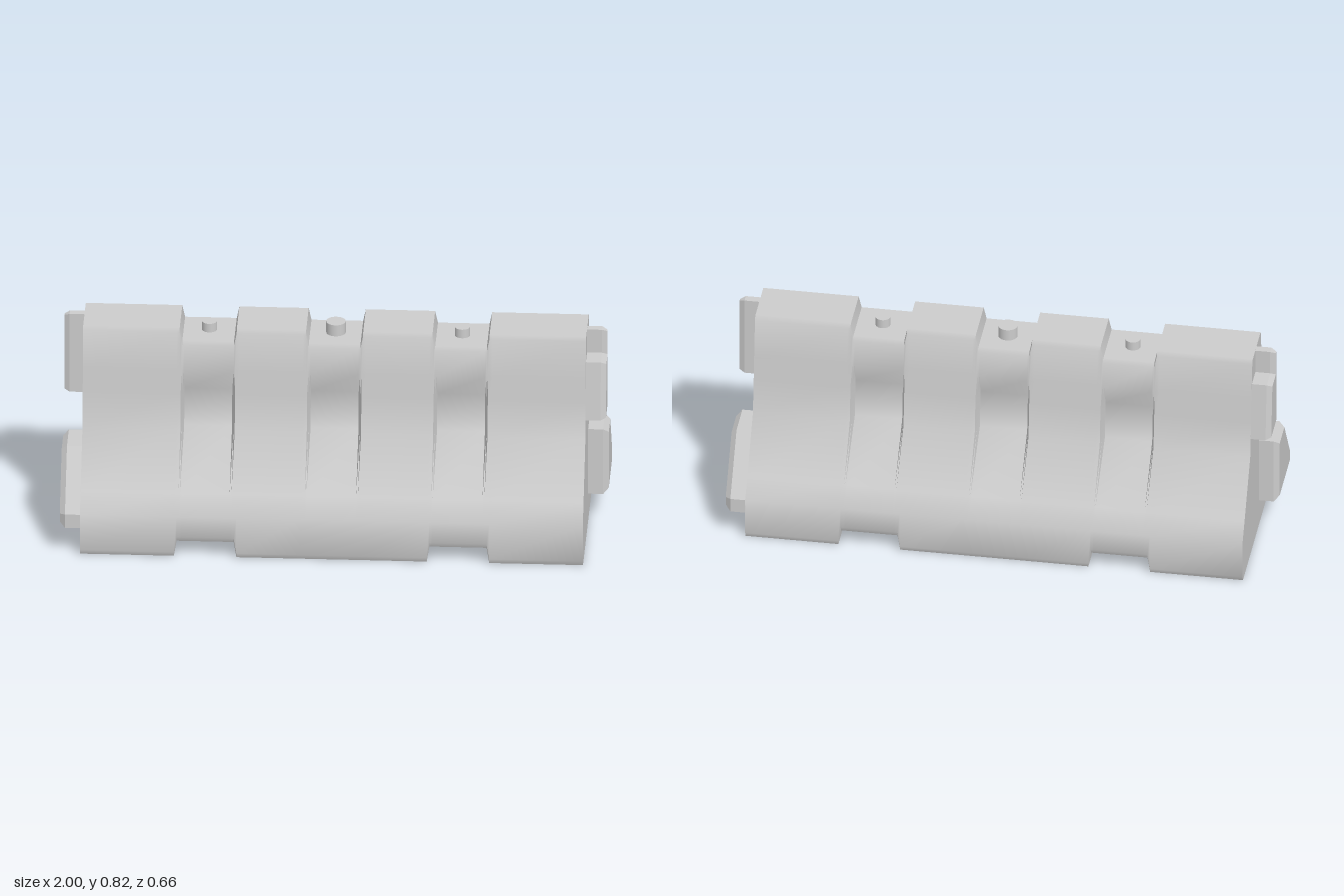
import * as THREE from 'three';
import { toCreasedNormals } from 'three/addons/utils/BufferGeometryUtils.js';

const material = new THREE.MeshStandardMaterial({ color: 0xcccccc });
const END = 0.925;            // half length of the body without its tabs
const BAY = 0.465;            // spacing of the three recessed bays

// 1 inside a ramped window, 0 outside it
const windowAt = (x, centres, outer, inner) => Math.max(...centres.map(
  c => THREE.MathUtils.clamp((outer - Math.abs(x - c)) / (outer - inner), 0, 1)));

// Half cross-section [z, y] at station x, from the base up to the top
function halfProfile(x) {
  const recess = windowAt(x, [-BAY, 0, BAY], 0.1, 0.088);
  const dip = windowAt(x, [-BAY, 0, BAY], 0.105, 0.095) * 0.05;
  const foot = windowAt(x, [-BAY, BAY], 0.115, 0.105) * 0.062;
  return [
    [0.318, foot],
    [0.328, foot + 0.02],
    [0.33, 0.165],
    [0.28, 0.237],
    [0.148 - 0.045 * recess, 0.432],
    [0.13 - 0.043 * recess, 0.575],
    [0.119, 0.66],
    [0.101 + 0.1 * dip, 0.81 - dip],
    [0.092 + 0.1 * dip, 0.825 - dip],
  ];
}

// Body skinned through cross-sections along x
function bodyGeometry() {
  const xs = [-END, END];
  for (const c of [-BAY, 0, BAY])
    for (const d of [0.115, 0.105, 0.1, 0.095, 0.088]) xs.push(c - d, c + d);
  xs.sort((a, b) => a - b);

  const positions = [], index = [];
  let n = 0;
  for (const x of xs) {
    const half = halfProfile(x);
    const loop = [...half, ...half.slice().reverse().map(([z, y]) => [-z, y])];
    n = loop.length;
    for (const [z, y] of loop) positions.push(x, y, z);
  }
  const quad = (a, b, c, d) => index.push(a, b, c, a, c, d);
  for (let i = 0; i < xs.length - 1; i++)
    for (let j = 0; j < n; j++) {
      const k = (j + 1) % n;
      quad(i * n + j, (i + 1) * n + j, (i + 1) * n + k, i * n + k);
    }
  // end faces, as strips between the front and back halves
  const last = (xs.length - 1) * n;
  for (let j = 0; j < n / 2 - 1; j++) {
    const f0 = j, f1 = j + 1, b0 = n - 1 - j, b1 = n - 2 - j;
    quad(last + b0, last + b1, last + f1, last + f0);
    quad(f0, f1, b1, b0);
  }
  const geometry = new THREE.BufferGeometry();
  geometry.setAttribute('position', new THREE.Float32BufferAttribute(positions, 3));
  geometry.setIndex(index);
  return toCreasedNormals(geometry, 0.65);
}

// Bevelled tab on the +x end from a [z, y] outline
function tabGeometry(outline, bevel) {
  const shape = new THREE.Shape(outline.map(([z, y]) => new THREE.Vector2(-z, y)));
  const t = 0.02, start = END - t;
  const geometry = new THREE.ExtrudeGeometry(shape, {
    depth: 1 - start - 2 * t, bevelThickness: t, bevelSize: bevel,
    bevelOffset: -bevel, bevelSegments: 1,
  });
  return geometry.translate(0, 0, start + t).rotateY(Math.PI / 2);
}

function addMesh(parent, name, geometry) {
  const mesh = new THREE.Mesh(geometry, material);
  mesh.name = name;
  parent.add(mesh);
  return mesh;
}

export function createModel() {
  const group = new THREE.Group();
  group.name = 'roadBarrier';
  addMesh(group, 'body', bodyGeometry());

  // Interlocking tabs, the same at both ends after a half turn
  const upperTab = tabGeometry(
    [[0, 0.505], [0.138, 0.505], [0.111, 0.73], [0.03, 0.73], [0.03, 0.824], [0, 0.824]], 0.009);
  const lowerTab = tabGeometry(
    [[-0.05, 0.11], [-0.05, 0.375], [-0.186, 0.375], [-0.33, 0.165], [-0.33, 0.11]], 0.018);
  for (const [name, turn] of [['leftEnd', 0], ['rightEnd', Math.PI]]) {
    const end = new THREE.Group();
    end.name = name;
    end.rotation.y = turn;
    addMesh(end, 'upperTab', upperTab);
    addMesh(end, 'lowerTab', lowerTab);
    group.add(end);
  }

  // Filler caps standing in the top notches
  for (const [x, radius, top] of [[-BAY, 0.028, 0.81], [0, 0.036, 0.82], [BAY, 0.028, 0.81]]) {
    const bottom = 0.765;
    const cap = addMesh(group, 'fillerCap',
      new THREE.CylinderGeometry(radius, radius, top - bottom, 24));
    cap.position.set(x, (top + bottom) / 2, 0);
  }
  return group;
}
